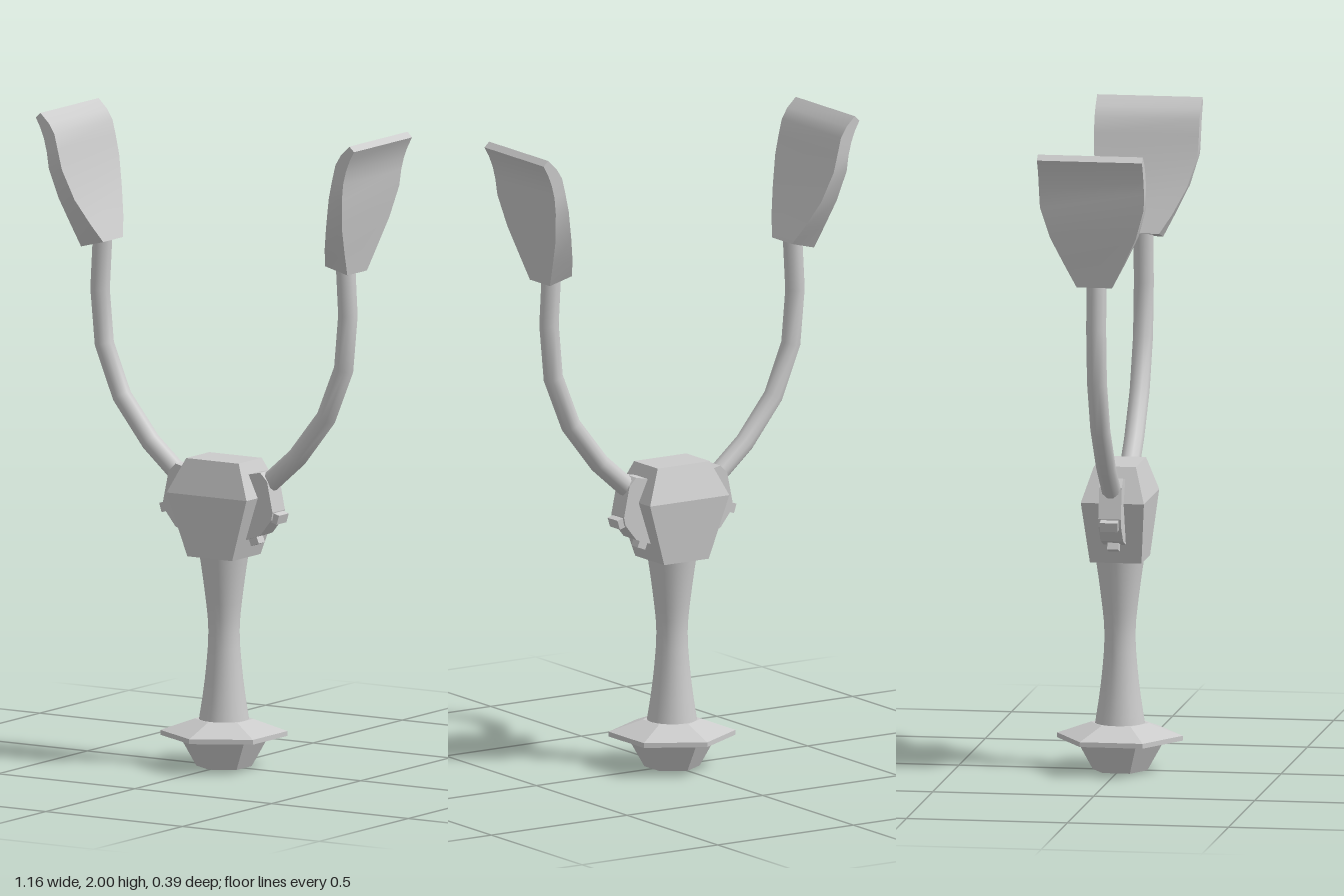
import * as THREE from 'three';

const smooth = new THREE.MeshStandardMaterial({ color: 0xcccccc, side: THREE.DoubleSide });
const faceted = new THREE.MeshStandardMaterial({ color: 0xcccccc, flatShading: true });

function part(parent, name, geometry, material) {
  const mesh = new THREE.Mesh(geometry, material);
  mesh.name = name;
  parent.add(mesh);
  return mesh;
}

// Box whose corners are moved row by row; place(row, sx, sz) returns [x, y, z].
function shapedBox(rows, place) {
  const n = rows.length - 1;
  const g = new THREE.BoxGeometry(2, n, 2, 1, n, 1);
  const p = g.attributes.position;
  for (let i = 0; i < p.count; i++) {
    const row = rows[Math.round(p.getY(i) + n / 2)];
    p.setXYZ(i, ...place(row, Math.sign(p.getX(i)), Math.sign(p.getZ(i))));
  }
  g.computeVertexNormals();
  return g;
}

const points = (list) => list.map(([x, y]) => new THREE.Vector2(x, y));

// One arm on the +x side: bracket, pins, curved tube and flared paddle.
function createArm() {
  const arm = new THREE.Group();

  const outline = points([[0.06, 0.91], [0.155, 0.93], [0.18, 0.905], [0.2, 0.81],
    [0.195, 0.785], [0.155, 0.735], [0.1, 0.715], [0.06, 0.74]]);
  const plate = new THREE.ExtrudeGeometry(new THREE.Shape(outline), { depth: 0.07, bevelEnabled: false });
  plate.translate(0, 0, -0.035);
  part(arm, 'bracket', plate, faceted);

  for (const [x, y, tilt, width] of [[0.198, 0.792, -0.3, 0.055], [0.118, 0.717, -1.2, 0.035]]) {
    const pin = part(arm, 'bracketPin', new THREE.BoxGeometry(0.035, 0.03, width), faceted);
    pin.position.set(x, y, 0);
    pin.rotation.z = tilt;
  }

  const path = new THREE.CatmullRomCurve3([[0.14, 0.872], [0.25, 0.965], [0.37, 1.11],
    [0.442, 1.29], [0.453, 1.48], [0.444, 1.61]].map(([x, y]) => new THREE.Vector3(x, y, 0)));
  part(arm, 'armTube', new THREE.TubeGeometry(path, 5, 0.031, 10), smooth);

  // Rows: outer x, outer y, inner x, inner y, half width
  const rows = [
    [0.487, 1.577, 0.406, 1.598, 0.055],
    [0.501, 1.65, 0.428, 1.655, 0.092],
    [0.518, 1.735, 0.46, 1.735, 0.133],
    [0.536, 1.83, 0.488, 1.83, 0.161],
    [0.542, 1.88, 0.502, 1.89, 0.163],
    [0.552, 1.92, 0.514, 1.938, 0.163],
    [0.566, 1.955, 0.534, 1.97, 0.163],
    [0.582, 1.984, 0.565, 2.0, 0.163],
  ];
  const paddle = shapedBox(rows, ([ox, oy, ix, iy, w], sx, sz) =>
    (sx > 0 ? [ox, oy, sz * w] : [ix, iy, sz * w]));
  part(arm, 'paddle', paddle, smooth);
  return arm;
}

export function createModel() {
  const model = new THREE.Group();
  model.name = 'forkedHandle';

  // Hexagonal pommel with a wide flange
  const pommel = points([[0, 0], [0.085, 0], [0.138, 0.095], [0.195, 0.095],
    [0.195, 0.11], [0.09, 0.147], [0, 0.147]]);
  part(model, 'pommel', new THREE.LatheGeometry(pommel, 6), faceted);

  // Waisted round grip
  const grip = new THREE.SplineCurve(points([[0.078, 0.14], [0.059, 0.27], [0.048, 0.42],
    [0.06, 0.55], [0.077, 0.67]]));
  part(model, 'grip', new THREE.LatheGeometry(grip.getPoints(12), 20), smooth);

  // Faceted head: y, half width, half depth
  const head = shapedBox([[0.655, 0.082, 0.08], [0.85, 0.146, 0.098], [0.957, 0.096, 0.065]],
    ([y, w, d], sx, sz) => [sx * w, y, sz * d]);
  part(model, 'head', head, faceted);

  // Arms are symmetric front to back, so a half turn mirrors them
  for (const [name, turn] of [['leftArm', 0], ['rightArm', Math.PI]]) {
    const arm = createArm();
    arm.name = name;
    arm.rotation.y = turn;
    model.add(arm);
  }
  return model;
}
